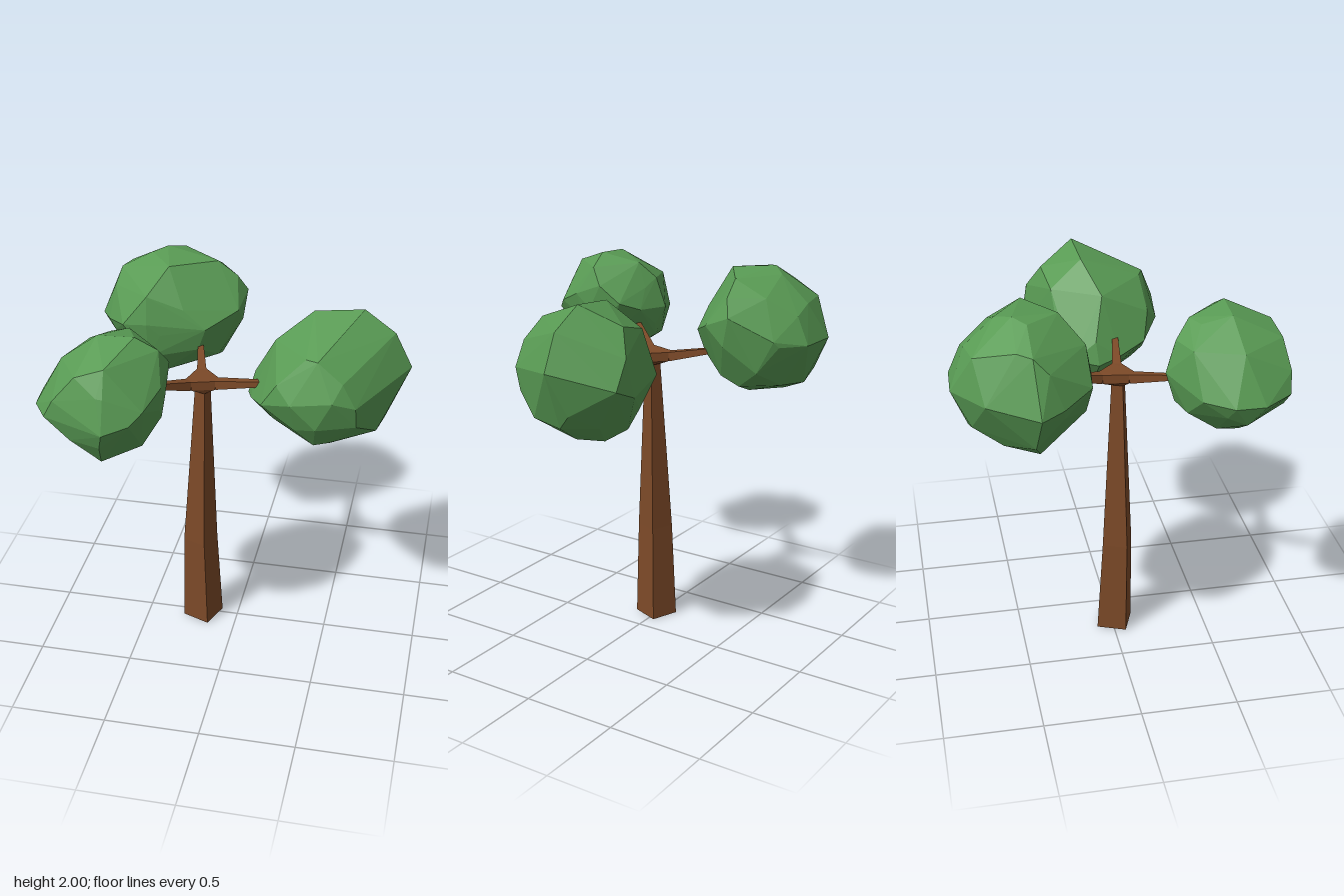
import * as THREE from 'three';
import { ConvexGeometry } from 'three/addons/geometries/ConvexGeometry.js';

const bark = new THREE.MeshStandardMaterial({ color: 0x7d4a28, flatShading: true });
const leaf = new THREE.MeshStandardMaterial({ color: 0x599b54, flatShading: true });
const V = (x, y, z) => new THREE.Vector3(x, y, z);

function addPart(group, name, geometry, material) {
  const mesh = new THREE.Mesh(geometry, material);
  mesh.name = name;
  group.add(mesh);
}

// Four corners of a level square, turned to the trunk's angle
function squareRing(x, y, z, r) {
  return [0, 1, 2, 3].map(i => {
    const a = THREE.MathUtils.degToRad(66 + 90 * i);
    return V(x + r * Math.cos(a), y, z + r * Math.sin(a));
  });
}

// Four-sided tapered limb between two points
function limb(from, to, r0, r1) {
  const dir = to.clone().sub(from);
  const geo = new THREE.CylinderGeometry(r1, r0, dir.length(), 4);
  geo.rotateY(Math.PI / 4);
  geo.translate(0, dir.length() / 2, 0);
  geo.rotateX(Math.acos(dir.y / dir.length()));
  geo.rotateY(Math.atan2(dir.x, dir.z));
  return geo.translate(from.x, from.y, from.z);
}

// Lowest and highest value of coordinate k in an outline of flat pairs
function range(outline, k) {
  const v = outline.filter((_, i) => i % 2 === k);
  return [Math.min(...v), Math.max(...v)];
}

// Extent of an outline across the line where coordinate k equals value
function span(outline, k, value) {
  const [lo, hi] = range(outline, k);
  const at = THREE.MathUtils.clamp(value, lo + 1e-4, hi - 1e-4);
  const n = outline.length, hits = [];
  for (let i = 0; i < n; i += 2) {
    const j = (i + 2) % n;
    const a = outline[i + k] - at, b = outline[j + k] - at;
    if (a * b <= 0 && a !== b)
      hits.push(THREE.MathUtils.lerp(outline[i + 1 - k], outline[j + 1 - k], a / (a - b)));
  }
  return [Math.min(...hits), Math.max(...hits)];
}

// Middle of the overlap of two extents
const middle = (a, b) => (Math.max(a[0], b[0]) + Math.min(a[1], b[1])) / 2;

const pairs = (outline, fn) => {
  const out = [];
  for (let i = 0; i < outline.length; i += 2) out.push(fn(outline[i], outline[i + 1]));
  return out;
};

// Faceted lump of leaves spanned by its xy, zy and xz outlines
function crown(xy, zy, xz) {
  const points = [
    ...pairs(xy, (x, y) => V(x, y, middle(span(xz, 0, x), span(zy, 1, y)))),
    ...pairs(zy, (z, y) => V(middle(span(xz, 1, z), span(xy, 1, y)), y, z)),
    ...pairs(xz, (x, z) => V(x, middle(span(xy, 0, x), span(zy, 0, z)), z)),
  ];
  // Evenly spread points fill the areas between the outlines
  const box = new THREE.Box3().setFromPoints(points);
  const mid = box.getCenter(V(0, 0, 0)), half = box.getSize(V(0, 0, 0)).multiplyScalar(0.5);
  const count = 36;
  for (let i = 0; i < count; i++) {
    const y = 1 - 2 * (i + 0.5) / count;
    const a = i * Math.PI * (3 - Math.sqrt(5)), w = Math.sqrt(1 - y * y);
    const p = V(w * Math.cos(a), y, w * Math.sin(a)).multiplyScalar(0.95).multiply(half).add(mid);
    const inside = (v, [lo, hi]) => v > lo && v < hi;
    if (inside(p.y, span(xy, 0, p.x)) && inside(p.y, span(zy, 0, p.z))
      && inside(p.z, span(xz, 0, p.x))) points.push(p);
  }
  return new ConvexGeometry(points);
}

export function createModel() {
  const tree = new THREE.Group();
  tree.name = 'tree';

  // Trunk: square sections that narrow upwards
  const rings = [[-0.195, 0, 0.014, 0.112], [-0.2, 0.53, 0.027, 0.093],
    [-0.175, 1.46, 0.033, 0.042]].map(s => squareRing(...s));
  addPart(tree, 'lowerTrunk', new ConvexGeometry([...rings[0], ...rings[1]]), bark);
  addPart(tree, 'upperTrunk', new ConvexGeometry([...rings[1], ...rings[2]]), bark);

  // Branches: start at the fork and end inside a crown
  const branches = [
    ['leftBranch', V(-0.1, 1.51, 0.04), V(0.28, 1.585, 0.1)],
    ['backBranch', V(-0.2, 1.51, -0.06), V(-0.28, 1.58, -0.38)],
    ['frontBranch', V(-0.235, 1.515, 0.09), V(-0.47, 1.61, 0.34)],
  ];
  const forkPoints = [...rings[2]];
  for (const [name, from, to] of branches) {
    addPart(tree, name, limb(from, to, 0.034, 0.014), bark);
    const side = V(to.z - from.z, 0, from.x - to.x).setLength(0.024);
    for (const s of [-1, 1]) for (const y of [-0.024, 0.024])
      forkPoints.push(from.clone().addScaledVector(side, s).add(V(0, y, 0)));
  }
  addPart(tree, 'fork', new ConvexGeometry(forkPoints), bark);

  // Crowns
  addPart(tree, 'leftCrown', crown(
    [0.06, 1.45, 0.09, 1.57, 0.2, 1.78, 0.38, 1.92, 0.63, 1.945, 0.79, 1.84, 0.88, 1.66,
      0.76, 1.36, 0.6, 1.26, 0.5, 1.24, 0.22, 1.28, 0.09, 1.39],
    [0.355, 1.63, 0.28, 1.81, -0.07, 1.945, -0.255, 1.84, -0.325, 1.71, -0.34, 1.51,
      -0.22, 1.3, -0.13, 1.24, 0.06, 1.24, 0.225, 1.315, 0.33, 1.46],
    [0.055, -0.02, 0.085, -0.155, 0.15, -0.205, 0.55, -0.34, 0.69, -0.33, 0.88, -0.055,
      0.645, 0.305, 0.535, 0.355, 0.325, 0.335, 0.165, 0.24, 0.09, 0.095]), leaf);
  addPart(tree, 'backCrown', crown(
    [-0.83, 1.62, -0.72, 1.89, -0.55, 1.985, -0.48, 2, -0.19, 1.97, -0.09, 1.89, -0.04, 1.8,
      -0.06, 1.645, -0.18, 1.415, -0.35, 1.35, -0.59, 1.325, -0.73, 1.43],
    [-0.165, 1.7, -0.19, 1.85, -0.305, 1.98, -0.53, 2, -0.605, 1.975, -0.755, 1.84,
      -0.835, 1.655, -0.75, 1.425, -0.6, 1.355, -0.425, 1.325, -0.295, 1.37, -0.19, 1.5],
    [-0.83, -0.445, -0.705, -0.69, -0.5, -0.835, -0.29, -0.825, -0.145, -0.705, -0.04, -0.5,
      -0.065, -0.355, -0.215, -0.22, -0.52, -0.165, -0.65, -0.18, -0.765, -0.33]), leaf);
  addPart(tree, 'frontCrown', crown(
    [-0.88, 1.625, -0.75, 1.84, -0.575, 1.965, -0.39, 1.975, -0.28, 1.91, -0.245, 1.82,
      -0.25, 1.685, -0.275, 1.55, -0.36, 1.415, -0.455, 1.38, -0.6, 1.375, -0.84, 1.52],
    [0.83, 1.61, 0.78, 1.78, 0.715, 1.9, 0.505, 1.975, 0.315, 1.925, 0.24, 1.84,
      0.19, 1.68, 0.24, 1.52, 0.415, 1.4, 0.545, 1.375, 0.705, 1.395, 0.79, 1.52],
    [-0.88, 0.45, -0.79, 0.315, -0.545, 0.19, -0.385, 0.25, -0.28, 0.32, -0.245, 0.425,
      -0.25, 0.585, -0.305, 0.72, -0.36, 0.775, -0.48, 0.83, -0.785, 0.74, -0.87, 0.6]), leaf);

  return tree;
}
